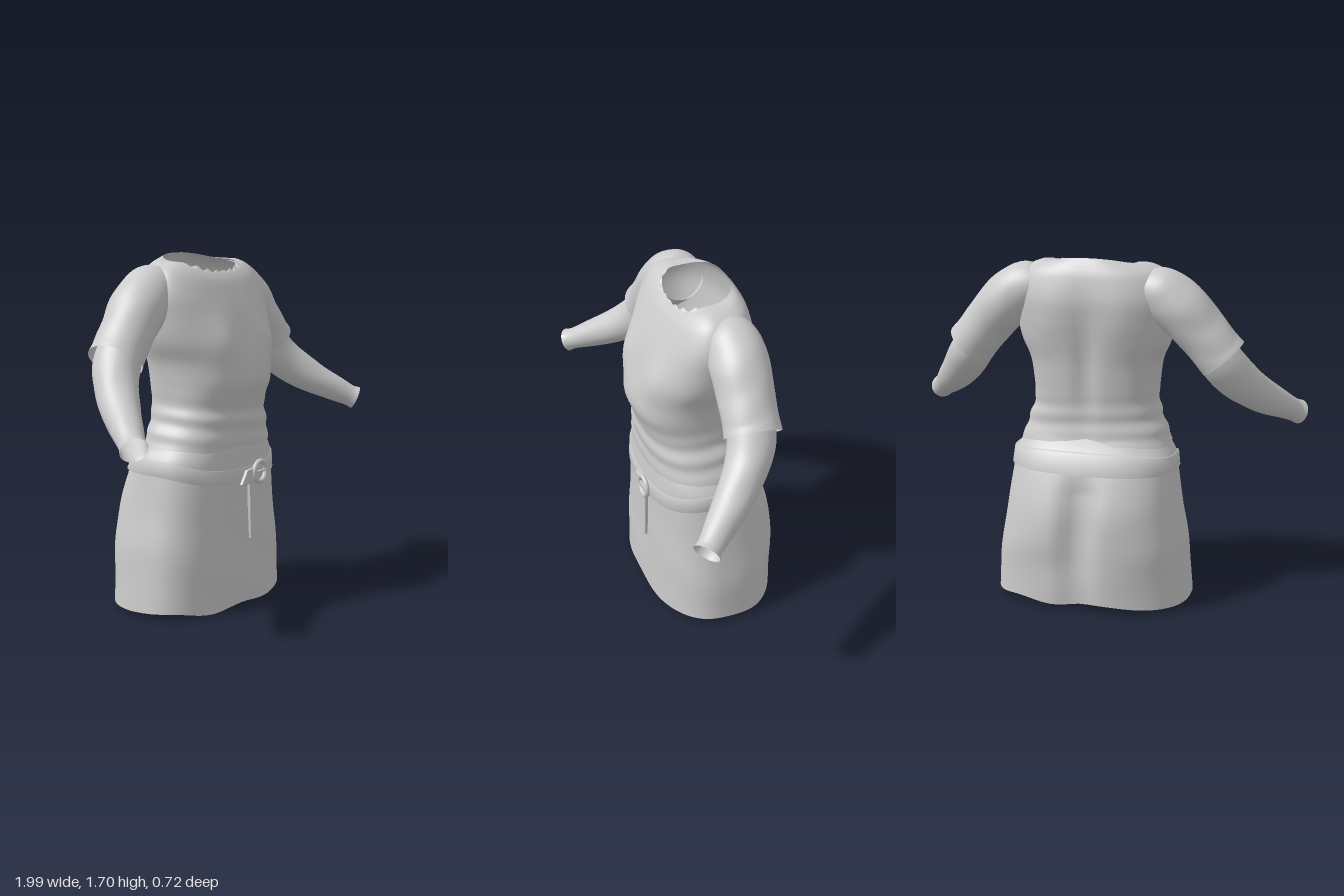
import * as THREE from 'three';

const cloth = new THREE.MeshStandardMaterial({ color: 0xcccccc, side: THREE.DoubleSide });
const bump = (v, centre, width) => Math.exp(-(((v - centre) / width) ** 2));

// Smooth skin over a grid of rings; ringPoint(t, angle) gives each position
function skin(ringPoint, steps, sides) {
  const pos = [], index = [];
  for (let i = 0; i <= steps; i++) {
    for (let j = 0; j < sides; j++) {
      pos.push(...ringPoint(i / steps, (j / sides) * Math.PI * 2).toArray());
      if (i === steps) continue;
      const a = i * sides + j, b = i * sides + ((j + 1) % sides);
      index.push(a, a + sides, b, b, a + sides, b + sides);
    }
  }
  const g = new THREE.BufferGeometry();
  g.setAttribute('position', new THREE.Float32BufferAttribute(pos, 3));
  g.setIndex(index);
  g.computeVertexNormals();
  return g;
}

// Garment body: rows of [halfWidth, frontZ, backZ, yFront, ySide, yBack]
function garment(rows, shape = (v) => v, steps = 60, linear = false) {
  const path = (k) => {
    const pts = rows.map((r) => new THREE.Vector3(r[k], r[k + 1], r[k + 2]));
    if (!linear) return new THREE.CatmullRomCurve3(pts, false, 'catmullrom', 0.5);
    return { getPoint: (t) => pts[Math.round(t * (pts.length - 1))] };
  };
  const size = path(0), height = path(3);
  return skin((t, a) => {
    const r = size.getPoint(t), h = height.getPoint(t);
    const c = Math.cos(a), s = Math.sin(a), k = Math.abs(s) ** 0.8;
    return shape(new THREE.Vector3(
      r.x * Math.sign(c) * Math.abs(c) ** 0.8,
      h.y + ((s > 0 ? h.x : h.z) - h.y) * k * k,
      (s > 0 ? r.y : r.z) * k
    ), t);
  }, steps, 96);
}

// Limb: stations of [x, y, z, radius across, radius front-to-back]
function limb(stations, side, folds) {
  const spine = new THREE.CatmullRomCurve3(stations.map((p) => new THREE.Vector3(p[0] * side, p[1], p[2])));
  const radii = new THREE.CatmullRomCurve3(stations.map((p) => new THREE.Vector3(p[3], p[4], 0)));
  const zAxis = new THREE.Vector3(0, 0, 1);
  return skin((t, a) => {
    const dir = spine.getTangent(t), r = radii.getPoint(t);
    const u = zAxis.clone().cross(dir).normalize(), v = u.clone().cross(dir);
    const f = 1 + folds * Math.sin(t * 22 + 2 * Math.sin(a * 2)) * Math.sin(t * Math.PI);
    return spine.getPoint(t).addScaledVector(u, r.x * f * Math.cos(a)).addScaledVector(v, r.y * f * Math.sin(a));
  }, 30, 40);
}

export function createModel() {
  const model = new THREE.Group();
  model.name = 'tunicOutfit';
  const add = (name, geometry) => {
    const mesh = new THREE.Mesh(geometry, cloth);
    mesh.name = name;
    model.add(mesh);
    return mesh;
  };

  // Skirt with a cleft between two lobes at the back
  add('skirt', garment([
    [0.488, 0.27, -0.35, 0.012, 0.03, 0.04],
    [0.475, 0.268, -0.355, 0.2, 0.2, 0.2],
    [0.455, 0.265, -0.362, 0.35, 0.35, 0.35],
    [0.43, 0.262, -0.345, 0.5, 0.5, 0.5],
    [0.405, 0.262, -0.29, 0.66, 0.66, 0.66],
    [0.398, 0.258, -0.25, 0.73, 0.73, 0.73],
    [0.365, 0.252, -0.205, 0.79, 0.79, 0.79],
    [0.33, 0.235, -0.175, 0.84, 0.84, 0.84],
  ], (v, t) => {
    if (v.z < 0) v.z += bump(v.x, 0, 0.075) * (0.035 + 0.035 * bump(v.y, 0.42, 0.18)) * Math.min(1, Math.max(0, (0.75 - v.y) * 6));
    const f = 1 + 0.006 * Math.sin(v.y * 17 + v.x * 9) * bump(v.y, 0.3, 0.25);
    v.x *= f;
    v.z *= f;
    v.y += 0.008 * Math.sin(v.x * 14 + v.z * 9) * bump(t, 0, 0.12);
    return v;
  }));

  // Shirt body from the loose hem to the neck opening
  add('shirt', garment([
    [0.372, 0.262, -0.195, 0.785, 0.79, 0.80],
    [0.35, 0.265, -0.18, 0.85, 0.85, 0.85],
    [0.32, 0.268, -0.175, 0.93, 0.93, 0.93],
    [0.302, 0.275, -0.178, 1.0, 1.0, 1.0],
    [0.306, 0.31, -0.19, 1.1, 1.1, 1.1],
    [0.322, 0.3, -0.2, 1.2, 1.2, 1.2],
    [0.365, 0.27, -0.212, 1.3, 1.3, 1.3],
    [0.385, 0.235, -0.225, 1.4, 1.41, 1.41],
    [0.39, 0.195, -0.232, 1.49, 1.53, 1.51],
    [0.345, 0.155, -0.215, 1.57, 1.625, 1.61],
    [0.27, 0.128, -0.19, 1.605, 1.665, 1.665],
    [0.2, 0.11, -0.165, 1.62, 1.667, 1.70],
  ], (v, t) => {
    const x = Math.abs(v.x);
    if (v.z < 0) { // spine groove and shoulder blades
      v.z += 0.028 * bump(v.x, 0, 0.05) * bump(v.y, 1.2, 0.27);
      v.z -= 0.014 * bump(x, 0.17, 0.09) * bump(v.y, 1.4, 0.14);
    } else { // chest and breastbone
      v.z += 0.022 * bump(x, 0.18, 0.09) * bump(v.y, 1.3, 0.1);
      v.z -= 0.008 * bump(v.x, 0, 0.03) * bump(v.y, 1.3, 0.12);
    }
    // folds gathered at the waist
    const f = 1 + 0.016 * Math.sin(v.y * 62 + v.x * 5 + v.z * 6) * bump(v.y, 0.91, 0.1);
    v.x *= f;
    v.z *= f;
    v.y += 0.006 * Math.sin(v.x * 16 + v.z * 11) * bump(t, 0, 0.06);
    // ragged front of the neckline
    if (v.z > 0.05) v.y += 0.008 * Math.sin(v.x * 110) * bump(t, 1, 0.03);
    return v;
  }, 90));

  // Sleeves and forearms
  for (const side of [1, -1]) {
    const label = side > 0 ? 'left' : 'right';
    add(label + 'ShortSleeve', limb([
      [0.27, 1.55, -0.06, 0.105, 0.115],
      [0.34, 1.53, -0.06, 0.128, 0.13],
      [0.435, 1.46, -0.055, 0.132, 0.138],
      [0.527, 1.36, -0.045, 0.122, 0.13],
      [0.6, 1.272, -0.038, 0.12, 0.13],
      [0.63, 1.237, -0.034, 0.122, 0.134],
    ], side, 0.012));
    add(label + 'Forearm', limb([
      [0.56, 1.31, -0.045, 0.1, 0.11],
      [0.625, 1.215, -0.03, 0.105, 0.112],
      [0.695, 1.125, 0.025, 0.1, 0.1],
      [0.785, 1.035, 0.125, 0.085, 0.088],
      [0.87, 0.967, 0.23, 0.066, 0.07],
      [0.925, 0.925, 0.298, 0.055, 0.06],
      [0.943, 0.913, 0.32, 0.059, 0.064],
    ], side, 0.012));
  }

  // Belt dipping toward the front, with visible thickness
  add('belt', garment([
    [0.395, 0.255, -0.27, 0.61, 0.675, 0.68],
    [0.413, 0.272, -0.296, 0.61, 0.675, 0.68],
    [0.406, 0.27, -0.25, 0.683, 0.745, 0.775],
    [0.385, 0.252, -0.22, 0.683, 0.745, 0.775],
  ], undefined, 3, true));

  // Ring buckle with its pin
  const buckle = add('buckleRing', new THREE.TorusGeometry(0.05, 0.012, 12, 40));
  buckle.position.set(0.08, 0.652, 0.285);
  const pin = add('bucklePin', new THREE.CylinderGeometry(0.006, 0.006, 0.1, 10));
  pin.rotation.z = Math.PI / 2;
  pin.position.set(0.08, 0.652, 0.285);

  // Hanging strap end and the folded tab beside the buckle
  const flat = (points) => new THREE.ExtrudeGeometry(
    new THREE.Shape(points.map((p) => new THREE.Vector2(...p))),
    { depth: 0.012, bevelEnabled: true, bevelSize: 0.003, bevelThickness: 0.003, bevelSegments: 2 });
  add('strapEnd', flat([[0.005, 0.62], [0.012, 0.45], [0.02, 0.33], [0.045, 0.326], [0.063, 0.333], [0.07, 0.45], [0.073, 0.62]]))
    .position.z = 0.264;
  add('strapTab', flat([[-0.068, 0.61], [-0.035, 0.602], [0.03, 0.612], [0.03, 0.672], [-0.025, 0.668], [-0.04, 0.645]]))
    .position.z = 0.27;

  return model;
}
